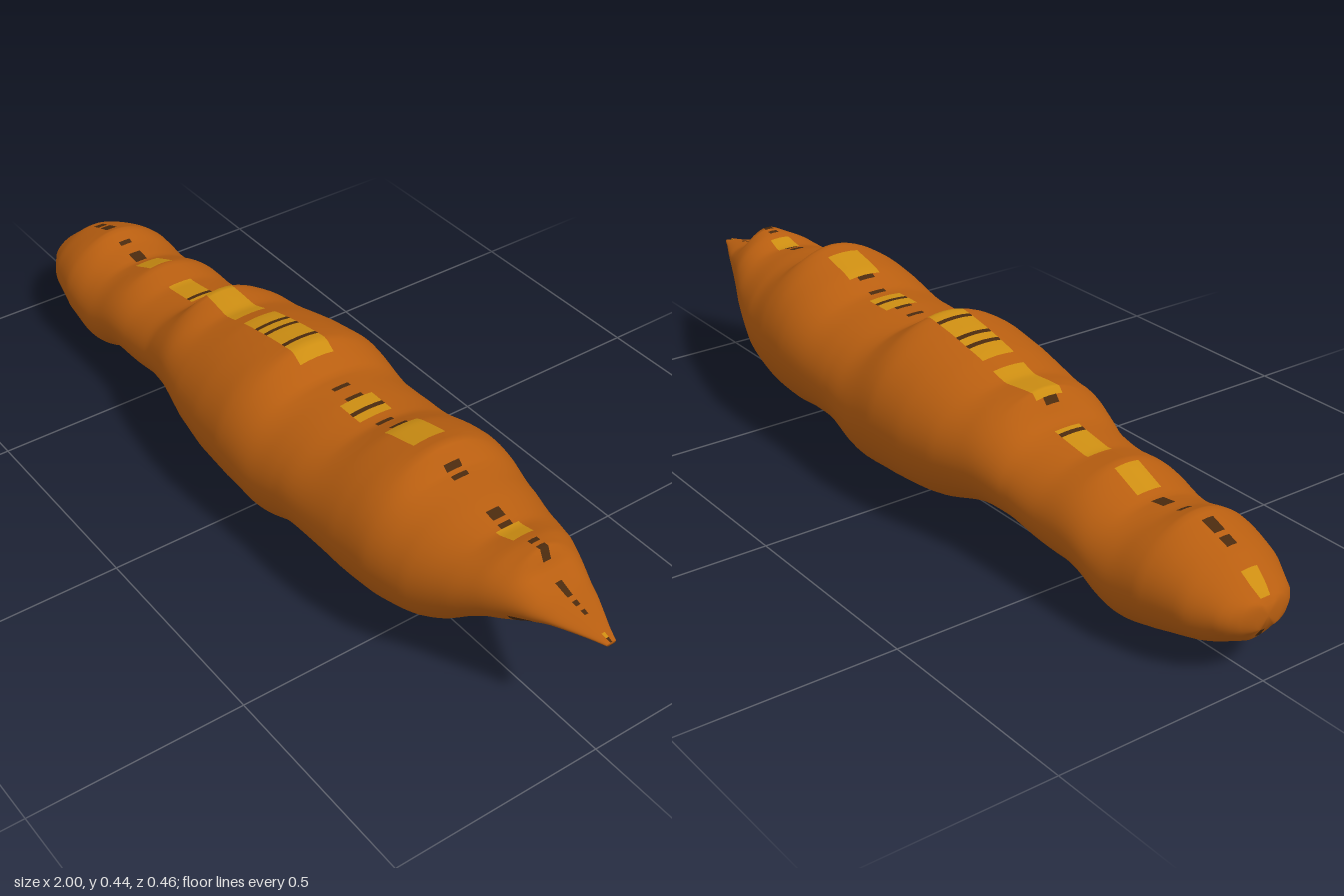
import * as THREE from 'three';

// Profiles along the length, as [x, value] pairs
const TOP = [[-1, .17], [-.98, .19], [-.92, .24], [-.8, .285], [-.75, .265], [-.68, .255], [-.58, .3], [-.5, .285],
  [-.38, .305], [-.33, .365], [-.24, .355], [-.15, .385], [-.06, .405], [.03, .42], [.1, .37], [.2, .375], [.3, .375],
  [.37, .41], [.49, .44], [.53, .4], [.62, .385], [.7, .365], [.76, .385], [.8, .39], [.82, .345], [.88, .325],
  [.95, .31], [1, .297]];
const BOTTOM = [[-1, .13], [-.97, .08], [-.9, .05], [-.82, .03], [-.7, 0], [-.6, .06], [-.5, .06], [-.4, .085],
  [-.28, .085], [-.2, .06], [-.14, .035], [-.02, .02], [.13, .015], [.2, .06], [.3, .065], [.45, .04], [.55, .06],
  [.63, .09], [.7, .16], [.76, .2], [.82, .22], [.85, .265], [.9, .28], [1, .291]];
const WIDTH = [[-1, .03], [-.99, .06], [-.97, .09], [-.9, .13], [-.8, .155], [-.7, .16], [-.5, .16], [-.4, .165],
  [-.3, .187], [-.2, .21], [-.1, .224], [0, .23], [.1, .226], [.2, .217], [.4, .215], [.5, .207], [.6, .185],
  [.7, .15], [.8, .105], [.9, .06], [.97, .025], [1, .012]];

// Stretches of the crest and underside that change colour
const CREST = [[-.99, -.94], [-.66, -.59], [-.5, -.4], [-.34, -.2], [-.16, .06], [.2, .27], [.35, .45], [.69, .74], [.98, 1]];
const UNDER = [[-.86, -.72], [.42, .47], [.6, .74]];

const within = (ranges, x) => ranges.some(([a, b]) => x >= a && x <= b);
const noise = (n) => { const s = Math.sin(n * 12.9898 + 4.1) * 43758.5453; return s - Math.floor(s); };

function sample(profile, x) {
  let k = 1;
  while (k < profile.length - 1 && profile[k][0] < x) k++;
  const [x0, v0] = profile[k - 1], [x1, v1] = profile[k];
  return v0 + (v1 - v0) * THREE.MathUtils.clamp((x - x0) / (x1 - x0), 0, 1);
}

// Average over a short window, to round the flanks
function soft(profile, x) {
  let sum = 0;
  for (let k = -4; k <= 4; k++) sum += sample(profile, THREE.MathUtils.clamp(x + k * .012, -1, 1));
  return sum / 9;
}

function createBody() {
  const rows = 170, sides = 64, positions = [], faces = [[], [], []];
  // Rings, with a collapsed ring closing each end
  for (let r = -1; r <= rows + 1; r++) {
    const x = -1 + 2 * THREE.MathUtils.clamp(r / rows, 0, 1);
    const open = r < 0 || r > rows ? 0 : 1;
    const w = sample(WIDTH, x);
    const mid = (soft(TOP, x) + soft(BOTTOM, x)) / 2;
    for (let s = 0; s < sides; s++) {
      const a = s / sides * Math.PI * 2, c = Math.cos(a);
      const profile = c > 0 ? TOP : BOTTOM;
      // The crest keeps sharp bumps, the flanks are smooth
      const edge = THREE.MathUtils.lerp(soft(profile, x), sample(profile, x), Math.pow(Math.abs(c), 6));
      positions.push(x, mid + Math.abs(c) * (edge - mid) * open, Math.sin(a) * w * open);
    }
  }
  // Faces, sorted by colour
  for (let r = 0; r < rows + 2; r++) {
    const x = -1 + 2 * (r - .5) / rows;
    for (let s = 0; s < sides; s++) {
      const fromTop = Math.min(s, sides - 1 - s), fromBottom = sides / 2 - 1 - fromTop;
      let colour = 0;
      if (fromTop < 2 && within(CREST, x)) colour = noise(r) < .12 ? 2 : 1;
      else if (fromTop < 1 && noise(r + 300) < .35) colour = 2;
      else if (fromBottom < 2 + 2 * noise(r + 700) && within(UNDER, x)) colour = 2;
      else if (fromBottom < 12 && x > .815 && x < .86) colour = 2;
      else if (fromBottom < 1 && noise(r + 900) < .25) colour = 2;
      const s1 = (s + 1) % sides;
      const a = r * sides + s, b = r * sides + s1, c = a + sides, d = b + sides;
      faces[colour].push(a, b, c, b, d, c);
    }
  }
  const geometry = new THREE.BufferGeometry();
  geometry.setAttribute('position', new THREE.Float32BufferAttribute(positions, 3));
  geometry.setIndex(faces.flat());
  geometry.computeVertexNormals();
  let start = 0;
  faces.forEach((list, k) => {
    geometry.addGroup(start, list.length, k);
    start += list.length;
  });
  return geometry;
}

export function createModel() {
  const skin = new THREE.MeshStandardMaterial({ color: 0xb85e10 });
  skin.name = 'orangeBrownSkin';
  const gold = new THREE.MeshStandardMaterial({ color: 0xcc8d12 });
  gold.name = 'goldenCrest';
  const dark = new THREE.MeshStandardMaterial({ color: 0x4a2a0e });
  dark.name = 'darkCrack';

  const group = new THREE.Group();
  group.name = 'root';
  const body = new THREE.Mesh(createBody(), [skin, gold, dark]);
  body.name = 'body';
  group.add(body);
  return group;
}
